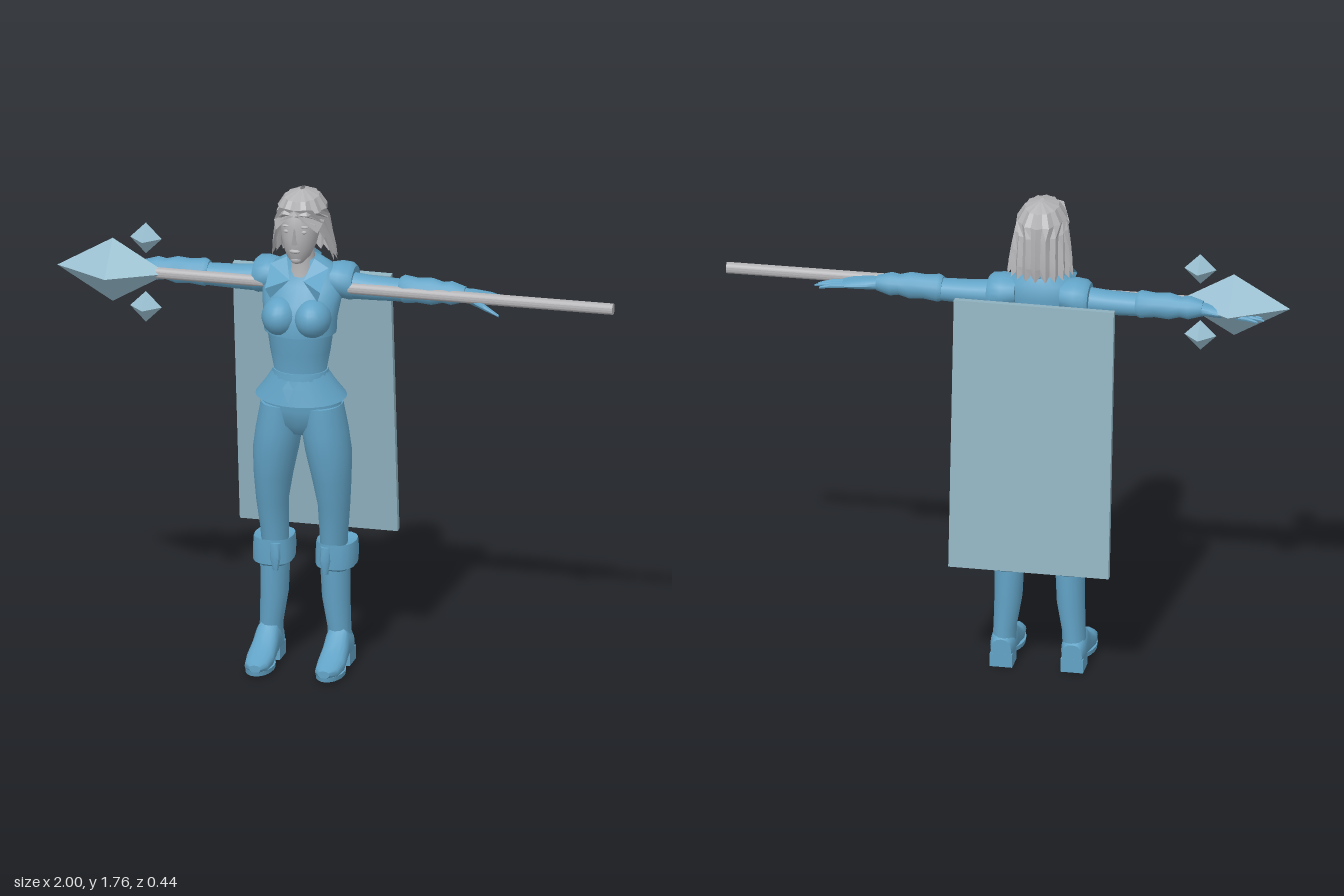
import * as THREE from 'three';
import { toCreasedNormals } from 'three/addons/utils/BufferGeometryUtils.js';

// Skin a grid of points; wrap joins each row into a ring, caps closes both ends
function skin(rows, { wrap = true, caps = true, crease = 0.75 } = {}) {
  const n = rows[0].length, pos = rows.flat(2), idx = [];
  for (let i = 0; i < rows.length - 1; i++) {
    for (let j = 0; j < (wrap ? n : n - 1); j++) {
      const a = i * n + j, b = i * n + (j + 1) % n;
      idx.push(a, a + n, b, b, a + n, b + n);
    }
  }
  if (caps) {
    [0, rows.length - 1].forEach((r, end) => {
      const c = pos.length / 3;
      for (let k = 0; k < 3; k++) pos.push(rows[r].reduce((s, p) => s + p[k], 0) / n);
      for (let j = 0; j < n; j++) {
        const a = r * n + j, b = r * n + (j + 1) % n;
        end ? idx.push(c, b, a) : idx.push(c, a, b);
      }
    });
  }
  const g = new THREE.BufferGeometry();
  g.setAttribute('position', new THREE.Float32BufferAttribute(pos, 3));
  g.setIndex(idx);
  return toCreasedNormals(g, crease);
}

// Elliptical sections along an axis: [position, centreU, centreV, radiusU, radiusV, tilt]
// (u, v) is (x, z) for axis y, (z, y) for axis x and (y, x) for axis z
function loft(axis, sections, { n = 20, p = 2, ...opts } = {}) {
  const bend = t => Math.sign(t) * Math.abs(t) ** (2 / p);
  return skin(sections.map(([s, cu, cv, ru, rv, tilt = 0]) =>
    Array.from({ length: n }, (_, j) => {
      const a = j / n * Math.PI * 2;
      const u = cu + ru * bend(Math.cos(a)), dv = rv * bend(Math.sin(a)), v = cv + dv, t = s + tilt * dv;
      return axis === 'y' ? [u, t, v] : axis === 'x' ? [t, v, u] : [v, u, t];
    })), opts);
}

// Flat polygon drawn as a fan
function plate(...pts) {
  const g = new THREE.BufferGeometry(), tri = [];
  for (let i = 1; i < pts.length - 1; i++) tri.push(pts[0], pts[i], pts[i + 1]);
  g.setAttribute('position', new THREE.Float32BufferAttribute(tri.flat(), 3));
  g.computeVertexNormals();
  return g;
}

// Mirror across x, swapping two corners of every face
function mirrored(geo) {
  const g = geo.index ? geo.toNonIndexed() : geo.clone();
  g.scale(-1, 1, 1);
  for (const a of [g.attributes.position, g.attributes.normal]) {
    for (let i = 0; i < a.count; i += 3) {
      const b = [a.getX(i + 1), a.getY(i + 1), a.getZ(i + 1)];
      a.setXYZ(i + 1, a.getX(i + 2), a.getY(i + 2), a.getZ(i + 2));
      a.setXYZ(i + 2, ...b);
    }
  }
  return g;
}

export function createModel() {
  const mat = (name, color, side = THREE.FrontSide) => {
    const m = new THREE.MeshStandardMaterial({ color, side });
    m.name = name;
    return m;
  };
  const blue = mat('blue clothing', 0x62a3c6, THREE.DoubleSide);
  const grey = mat('pale grey', 0xb4b4b7, THREE.DoubleSide);
  const crystal = mat('crystal blue', 0x9ac0d1);
  const capeBlue = mat('cape blue', 0x90b3c1);

  const model = new THREE.Group(), figure = new THREE.Group();
  figure.name = 'figure';
  figure.position.x = -0.12;
  model.add(figure);
  const add = (name, geo, m, parent = figure) => {
    const mesh = new THREE.Mesh(geo, m);
    mesh.name = name;
    parent.add(mesh);
    return mesh;
  };
  const pair = (name, geo, m) => {
    add(name + 'Left', geo, m);
    add(name + 'Right', mirrored(geo), m);
  };
  const blob = (x, y, z, rx, ry, rz) =>
    new THREE.SphereGeometry(1, 20, 14).scale(rx, ry, rz).translate(x, y, z);

  // Torso and jacket
  add('pelvis', loft('y', [[0.87, 0, 0.035, 0.05, 0.06], [0.91, 0, 0.035, 0.13, 0.092],
    [0.97, 0, 0.04, 0.146, 0.1], [1.04, 0, 0.055, 0.12, 0.09]]), blue);
  add('bodice', loft('y', [[1.03, 0, 0.055, 0.118, 0.09], [1.1, 0, 0.06, 0.092, 0.08],
    [1.18, 0, 0.06, 0.107, 0.095], [1.27, 0, 0.06, 0.12, 0.102]]), blue);
  add('jacket', loft('y', [[1.25, 0, 0.062, 0.128, 0.107], [1.3, 0, 0.06, 0.13, 0.109],
    [1.36, 0, 0.043, 0.14, 0.105], [1.42, 0, 0.015, 0.148, 0.085],
    [1.47, 0, 0.005, 0.125, 0.068], [1.51, 0, 0.015, 0.06, 0.05]], { n: 28 }), blue);
  pair('bust', blob(0.058, 1.315, 0.115, 0.066, 0.07, 0.08), blue);
  add('peplum', loft('y', [[1.01, 0, 0.05, 0.163, 0.118, -0.12], [1.06, 0, 0.055, 0.125, 0.1, -0.06],
    [1.11, 0, 0.06, 0.094, 0.083]], { caps: false, n: 28 }), blue);
  add('belt', loft('y', [[1.085, 0, 0.06, 0.103, 0.09], [1.11, 0, 0.06, 0.098, 0.087]]), blue);
  pair('belt flap', plate([0, 1.06, 0.163], [0.015, 1.01, 0.176], [0.04, 1.06, 0.165], [0.02, 1.09, 0.156]), blue);
  pair('lapel', plate([0.025, 1.45, 0.12], [0.085, 1.39, 0.155], [0.1, 1.43, 0.172],
    [0.105, 1.49, 0.075], [0.05, 1.515, 0.06]), blue);
  pair('back collar', plate([0, 1.5, -0.06], [0, 1.53, -0.055], [0.06, 1.52, 0.0], [0.06, 1.49, 0.0]), blue);

  // Arms, stretched out sideways
  pair('shoulderCap', loft('x', [[0.08, -0.005, 1.43, 0.065, 0.05], [0.13, -0.01, 1.425, 0.078, 0.064],
    [0.165, -0.012, 1.42, 0.075, 0.066], [0.18, -0.012, 1.415, 0.066, 0.058]]), blue);
  pair('sleeve', loft('x', [[0.12, 0, 1.41, 0.05, 0.05], [0.24, 0, 1.405, 0.048, 0.043],
    [0.36, 0, 1.405, 0.045, 0.039], [0.46, 0, 1.41, 0.04, 0.037], [0.58, 0, 1.41, 0.028, 0.025]]), blue);
  pair('gauntlet', loft('x', [[0.345, -0.002, 1.41, 0.044, 0.042], [0.36, -0.002, 1.41, 0.051, 0.05],
    [0.41, 0, 1.41, 0.045, 0.044], [0.46, 0, 1.41, 0.048, 0.048], [0.5, 0, 1.41, 0.038, 0.037],
    [0.53, 0, 1.41, 0.044, 0.042], [0.58, 0, 1.41, 0.03, 0.027]], { n: 14 }), blue);
  pair('palm', loft('x', [[0.56, 0, 1.41, 0.025, 0.022], [0.61, 0, 1.408, 0.038, 0.021],
    [0.67, 0, 1.404, 0.042, 0.017], [0.7, 0, 1.4, 0.036, 0.012]], { n: 14 }), blue);
  [0.76, 0.79, 0.8, 0.78].forEach((tip, i) => {
    const z = 0.027 - i * 0.018;
    pair('finger' + (i + 1), loft('x', [[0.68, z, 1.402, 0.01, 0.01], [0.74, z - 0.003, 1.398, 0.009, 0.009],
      [tip, z - 0.006, 1.388, 0.003, 0.004]], { n: 8 }), blue);
  });
  pair('thumb', loft('x', [[0.6, 0.025, 1.4, 0.014, 0.014], [0.66, 0.05, 1.385, 0.012, 0.012],
    [0.715, 0.062, 1.362, 0.004, 0.005]], { n: 8 }), blue);

  // Legs and boots
  pair('trouserLeg', loft('y', [[0.4, 0.105, 0, 0.045, 0.055], [0.5, 0.107, 0.008, 0.05, 0.062],
    [0.6, 0.111, 0.022, 0.056, 0.07], [0.7, 0.105, 0.03, 0.068, 0.087], [0.8, 0.095, 0.034, 0.08, 0.101],
    [0.88, 0.083, 0.036, 0.081, 0.104], [0.98, 0.073, 0.038, 0.072, 0.098]]), blue);
  pair('bootShaft', loft('y', [[0.05, 0.126, -0.015, 0.042, 0.052], [0.14, 0.122, -0.01, 0.041, 0.054],
    [0.25, 0.111, -0.008, 0.049, 0.061], [0.38, 0.108, -0.005, 0.052, 0.064]]), blue);
  pair('bootCuff', loft('y', [[0.365, 0.112, -0.012, 0.056, 0.066, -0.1], [0.375, 0.113, -0.014, 0.072, 0.081, -0.08],
    [0.42, 0.113, -0.016, 0.073, 0.084], [0.46, 0.113, -0.015, 0.07, 0.082],
    [0.45, 0.11, -0.005, 0.05, 0.06]], { n: 16, p: 2.5 }), blue);
  pair('cuffTab', loft('y', [[0.35, 0.09, 0.06, 0.01, 0.01], [0.4, 0.09, 0.066, 0.02, 0.014],
    [0.45, 0.09, 0.062, 0.018, 0.012]], { n: 8 }), blue);
  pair('foot', loft('z', [[-0.07, 0.06, 0.126, 0.045, 0.036], [-0.04, 0.07, 0.126, 0.056, 0.044],
    [0.03, 0.082, 0.126, 0.066, 0.044], [0.07, 0.06, 0.127, 0.049, 0.046], [0.13, 0.04, 0.128, 0.032, 0.05],
    [0.19, 0.033, 0.127, 0.023, 0.042], [0.22, 0.033, 0.124, 0.013, 0.02]], { n: 16, p: 2.4 }), blue);
  pair('heel', new THREE.BoxGeometry(0.08, 0.05, 0.085).translate(0.126, 0.025, -0.028), blue);
  pair('sole', loft('y', [[0.005, 0.127, 0.13, 0.049, 0.087], [0.022, 0.127, 0.13, 0.051, 0.09]]), blue);

  // Head
  add('neck', loft('y', [[1.45, 0, 0.03, 0.055, 0.055], [1.51, 0, 0.03, 0.042, 0.046], [1.58, 0, 0.035, 0.042, 0.05]]), grey);
  add('face', loft('y', [[1.515, 0, 0.1, 0.02, 0.027], [1.535, 0, 0.085, 0.041, 0.051],
    [1.57, 0, 0.073, 0.057, 0.073], [1.61, 0, 0.064, 0.066, 0.088], [1.65, 0, 0.06, 0.07, 0.088],
    [1.7, 0, 0.055, 0.07, 0.09], [1.74, 0, 0.05, 0.05, 0.065]]), grey);
  add('nose', skin([[[-0.013, 1.592, 0.143], [0, 1.598, 0.174], [0.013, 1.592, 0.143]],
    [[-0.006, 1.65, 0.14], [0, 1.65, 0.153], [0.006, 1.65, 0.14]]].map(r => r.reverse()), { crease: 0.3 }), grey);
  add('lips', blob(0, 1.566, 0.142, 0.02, 0.008, 0.01), grey);
  add('chin', blob(0, 1.53, 0.122, 0.02, 0.016, 0.015), grey);
  pair('eye', blob(0.028, 1.637, 0.136, 0.014, 0.007, 0.007), grey);
  pair('brow', blob(0.03, 1.657, 0.136, 0.018, 0.005, 0.008), grey);

  // Hair: faceted locks wrapped round the back, open at the face: [y, radiusX, radiusZ, centreZ, halfAngle]
  const locks = 24;
  const hairRows = [[1.505, 0.113, 0.09, 0, 1.85], [1.55, 0.108, 0.105, 0.01, 1.98], [1.6, 0.1, 0.113, 0.02, 2.1],
    [1.66, 0.09, 0.117, 0.03, 2.35], [1.7, 0.085, 0.117, 0.038, Math.PI], [1.742, 0.06, 0.085, 0.038, Math.PI],
    [1.765, 0.008, 0.02, 0.03, Math.PI]];
  const hair = hairRows.map(([y, rx, rz, cz, half], i) => Array.from({ length: locks + 1 }, (_, j) => {
    const a = half * (1 - 2 * j / locks), k = j % 2 ? 0.95 : 1.04;
    const drop = i === 0 ? (j % 2 ? 0.018 : -0.006) : 0;
    return [rx * k * Math.sin(a), y + drop, cz - rz * k * Math.cos(a)];
  }));
  add('hair', skin(hair, { wrap: false, caps: false, crease: 0.15 }), grey);
  pair('fringe', plate([0, 1.72, 0.155], [0.03, 1.685, 0.162], [0.075, 1.63, 0.115], [0.088, 1.66, 0.09], [0.06, 1.72, 0.13]), grey);

  // Cape panel hanging behind the shoulders
  const cape = add('cape', new THREE.BoxGeometry(0.57, 0.985, 0.026), capeBlue);
  cape.position.set(0, 0.93, -0.157);
  cape.rotation.x = 0.104;

  // Staff with a large crystal head and two small floating crystals
  const staff = new THREE.Group();
  staff.name = 'staff';
  staff.position.set(0, 1.41, 0.04);
  model.add(staff);
  const shaft = add('staffShaft', toCreasedNormals(new THREE.CylinderGeometry(0.02, 0.02, 1.72, 16), 0.75), grey, staff);
  shaft.position.set(0.14, 0, -0.002);
  shaft.rotation.set(0, 0.016, -Math.PI / 2);
  const gem = (name, x, y, rx, r) => add(name, new THREE.OctahedronGeometry(1).scale(rx, r, r), crystal, staff)
    .position.set(x, y, 0.013);
  gem('staffCrystal', -0.8, 0, 0.2, 0.117);
  for (const s of [1, -1]) gem(s > 0 ? 'upperCrystal' : 'lowerCrystal', -0.68, s * 0.127, 0.057, 0.057);
  return model;
}
